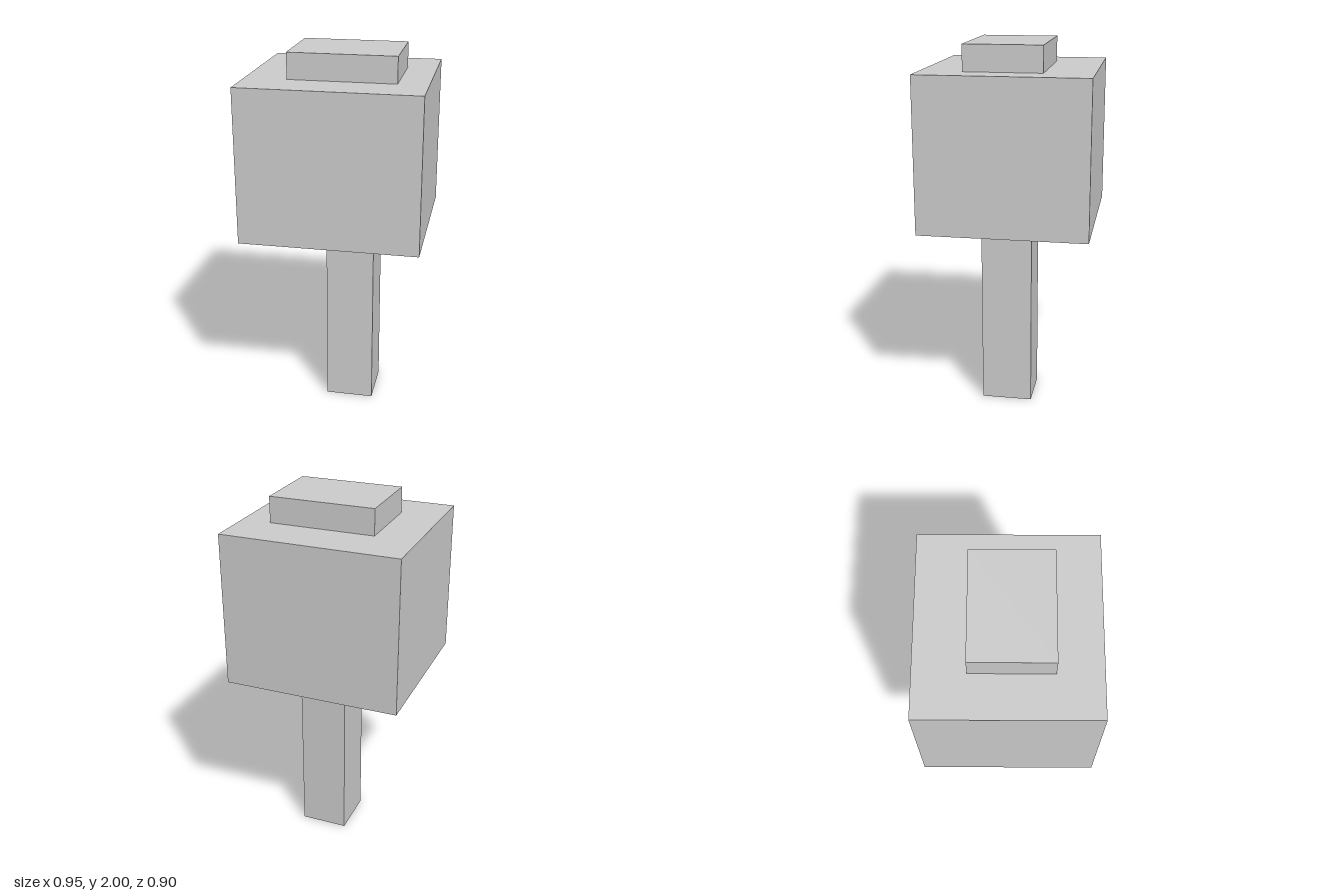
import * as THREE from 'three';

const material = new THREE.MeshStandardMaterial({ color: 0xcccccc, flatShading: true });

// Box spanning the given [min, max] range on each axis
function block(name, [x0, x1], [y0, y1], [z0, z1]) {
  const mesh = new THREE.Mesh(new THREE.BoxGeometry(x1 - x0, y1 - y0, z1 - z0), material);
  mesh.position.set((x0 + x1) / 2, (y0 + y1) / 2, (z0 + z1) / 2);
  mesh.name = name;
  return mesh;
}

export function createModel() {
  const tree = new THREE.Group();
  tree.name = 'blockTree';
  tree.add(
    // Slightly off-centre trunk
    block('trunk', [-0.064, 0.196], [0, 1.037], [-0.117, 0.158]),
    // Main block of leaves
    block('foliage', [-0.474, 0.474], [1.037, 1.862], [-0.448, 0.448]),
    // Small slab of leaves on top
    block('foliageTop', [-0.25, 0.316], [1.862, 2], [-0.19, 0.223]),
  );
  return tree;
}
